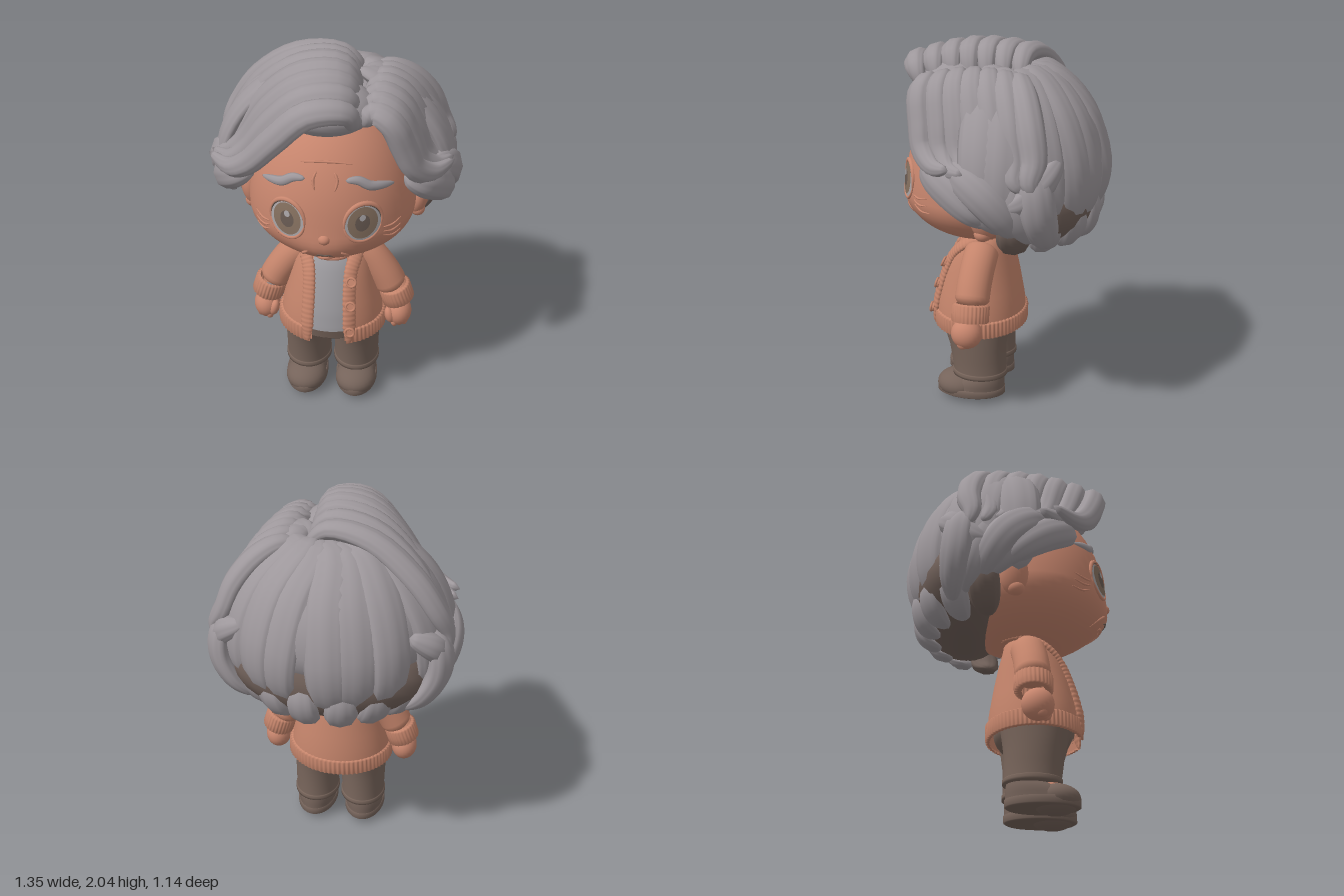
import * as THREE from 'three';
import { mergeVertices } from 'three/addons/utils/BufferGeometryUtils.js';

const V = (a) => new THREE.Vector3(...a);
const mat = (name, color, side = THREE.FrontSide) => Object.assign(new THREE.MeshStandardMaterial({ color, side }), { name });
const mirror = (pts, s) => pts.map(([x, ...r]) => [x * s, ...r]);
const mix = (A, B, t) => A.map((p, i) => p.map((v, k) => v + (B[i][k] - v) * t));

// Smooth surface through rows of points
function grid(rows, cols, fn) {
  const p = [], idx = [];
  for (let i = 0; i <= rows; i++) for (let j = 0; j <= cols; j++) p.push(...fn(i / rows, j / cols));
  for (let i = 0; i < rows; i++) for (let j = 0; j < cols; j++) {
    const a = i * (cols + 1) + j, c = a + cols + 1;
    idx.push(a, a + 1, c, a + 1, c + 1, c);
  }
  let g = new THREE.BufferGeometry();
  g.setAttribute('position', new THREE.Float32BufferAttribute(p, 3));
  g.setIndex(idx);
  g = mergeVertices(g, 1e-5);
  g.computeVertexNormals();
  return g;
}

// Unit sphere with its points moved by a rule
const egg = (rule) => grid(30, 48, (t, s) => {
  const lat = (t - 0.5) * Math.PI, a = (s % 1) * Math.PI * 2;
  return rule(Math.cos(lat) * Math.sin(a), Math.sin(lat), Math.cos(lat) * Math.cos(a));
});

// Flattened tube along a curve; its thin side faces away from a centre point
function sweep(pts, w, h, profile, { centre = [0, 1.35, 0], rows = 24, cols = 24, strands = 0 } = {}) {
  const curve = new THREE.CatmullRomCurve3(pts.map(V)), c = V(centre);
  return grid(rows, cols, (t, s) => {
    const P = curve.getPoint(t), T = curve.getTangent(t), N = P.clone().sub(c);
    N.addScaledVector(T, -N.dot(T)).normalize();
    const B = N.clone().cross(T), a = (s % 1) * Math.PI * 2, r = profile(t) * (1 + strands * Math.cos(8 * a));
    return P.addScaledVector(B, Math.cos(a) * w * r).addScaledVector(N, Math.sin(a) * h * r).toArray();
  });
}
const capped = (t) => Math.min(1, Math.sqrt(Math.max(0, Math.sin(Math.PI * t)) * 3));
const lockShape = (t) => Math.sqrt(Math.max(0, Math.sin(Math.PI * Math.pow(t, 0.85))));

// Stacked ellipses [y, rx, rz, centreZ]; gap is the half width of a front opening
function loft(rings, { gap = 0, rib = 0, ribs = 12, cx = 0 } = {}) {
  const n = rings.length - 1;
  return grid(n * 2, ribs * 4, (t, s) => {
    const i = Math.min(n - 1, Math.floor(t * n)), u = t * n - i;
    const [y, rx, rz, cz] = rings[i].map((v, k) => v + (rings[i + 1][k] - v) * u);
    const g = gap && Math.asin(gap / rx), a = g + (gap ? s : s % 1) * (Math.PI * 2 - 2 * g);
    const k = 1 + rib * Math.cos(a * ribs);
    return [cx + rx * k * Math.sin(a), y, cz + rz * k * Math.cos(a)];
  });
}

// Height of the face surface, with a soft muzzle
const bump = (x, y) => 0.03 * Math.exp(-((x / 0.15) ** 2) - ((y - 1.09) / 0.09) ** 2);
const faceZ = (x, y) => {
  const t = (y - 1.2) / (y > 1.2 ? 0.6 : 0.27);
  return 0.12 + 0.42 * Math.sqrt(Math.max(0, 1 - (x / 0.44) ** 2 - t * t)) + bump(x, y);
};

export function createModel() {
  const root = new THREE.Group();
  const skin = mat('skin', 0xc8866e), knit = mat('cardiganKnit', 0xc4846b, THREE.DoubleSide);
  const hair = mat('greyHair', 0x9d979b), under = mat('hairUnderside', 0x71615a);
  const cloth = mat('trouserBrown', 0x78655b), shoe = mat('shoeBrown', 0x75635a), shirt = mat('shirtGrey', 0x9b999d);
  const iris = mat('irisBrown', 0x85705f), dark = mat('pupilBrown', 0x685a52), white = mat('eyeGrey', 0xa8a4a6);
  const add = (name, geo, m, pos = [0, 0, 0], parent = root) => {
    const mesh = new THREE.Mesh(geo, m);
    mesh.name = name;
    mesh.position.set(...pos);
    parent.add(mesh);
    return mesh;
  };
  const ball = (name, m, pos, scale) => add(name, new THREE.SphereGeometry(1, 24, 16).scale(...scale), m, pos);
  const lock = (name, pts, w, h, m = hair) => add(name, sweep(pts, w, h, lockShape, { strands: 0.05 }), m);

  // Head, nose and neck
  add('head', egg((x, y, z) => {
    const X = x * 0.44, Y = 1.2 + y * (y > 0 ? 0.6 : 0.27);
    return [X, Y, 0.12 + z * 0.42 + (z > 0 ? bump(X, Y) : 0)];
  }), skin);
  ball('nose', skin, [0, 1.19, 0.535], [0.032, 0.029, 0.03]);
  add('neck', new THREE.CylinderGeometry(0.12, 0.14, 0.2, 32), skin, [0, 0.92, 0.1]);

  // Face details laid on the face surface
  const disc = (name, m, cx, cy, rx, ry, off) => add(name, grid(4, 36, (t, s) => {
    const a = (s % 1) * Math.PI * 2, x = cx + rx * (1 - t) * Math.cos(a), y = cy + ry * (1 - t) * Math.sin(a);
    return [x, y, faceZ(x, y) + off];
  }), m);
  const line = (name, m, pts, w, h = w) =>
    add(name, sweep(pts.map(([x, y]) => [x, y, faceZ(x, y)]), w, h, lockShape, { centre: [0, 1.25, 0], cols: 8 }), m);
  line('mouth', dark, [[-0.045, 1.08], [-0.02, 1.095], [0, 1.09], [0.02, 1.095], [0.045, 1.08]], 0.005);
  line('lowerLip', skin, [[-0.04, 1.055], [0, 1.06], [0.04, 1.055]], 0.012);
  line('foreheadCrease', skin, [[-0.13, 1.57], [0, 1.585], [0.13, 1.57]], 0.007);
  const lid = (a0, a1, k) => Array.from({ length: 11 }, (_, i) => {
    const a = (a0 + (a1 - a0) * i / 10) * Math.PI;
    return [0.19 + 0.091 * k * Math.cos(a), 1.275 + 0.103 * k * Math.sin(a)];
  });
  for (const s of [1, -1]) {
    disc('eyeWhite', white, 0.19 * s, 1.275, 0.088, 0.1, 0.004);
    disc('iris', iris, 0.19 * s, 1.278, 0.073, 0.086, 0.007);
    disc('pupil', dark, 0.19 * s, 1.28, 0.036, 0.045, 0.01);
    disc('eyeHighlight', white, 0.19 * s, 1.31, 0.015, 0.017, 0.013);
    line('upperLid', skin, mirror(lid(-0.1, 1.1, 1), s), 0.014);
    line('lowerLid', skin, mirror(lid(1.02, 1.98, 1), s), 0.01);
    line('lashLine', dark, mirror(lid(0, 1, 0.94), s), 0.006, 0.012);
    line('eyebrow', hair, mirror([[0.1, 1.5], [0.16, 1.495], [0.22, 1.46], [0.28, 1.445], [0.335, 1.43]], s), 0.025, 0.018);
    line('browCrease', skin, mirror([[0.045, 1.54], [0.06, 1.5], [0.05, 1.45]], s), 0.008);
    line('smileCrease', skin, mirror([[0.085, 1.11], [0.11, 1.08], [0.115, 1.03]], s), 0.009);
    for (let i = 0; i < 3; i++)
      line('eyeCrease', skin, mirror([[0.29, 1.22 - i * 0.025], [0.33, 1.215 - i * 0.035], [0.375, 1.23 - i * 0.04]], s), 0.006);
    ball('ear', skin, [0.455 * s, 1.175, 0.02], [0.055, 0.12, 0.075]).rotation.z = -0.2 * s;
    ball('earLobe', skin, [0.45 * s, 1.09, 0.03], [0.04, 0.04, 0.045]);
  }

  // Hair base under the locks
  add('hairBase', egg((x, y, z) => [x * 0.56, 1.42 + y * (y > 0 ? 0.43 : 0.3), -0.08 + z * 0.45]), hair);
  ball('fringeBase', hair, [-0.02, 1.79, 0.25], [0.25, 0.13, 0.21]);
  ball('napeHair', under, [0, 1.22, -0.24], [0.52, 0.26, 0.28]);

  // Locks combed from the parting to each side, from the front row to the crown
  const parted = [
    ['rightPartedLock', 0.05,
      [[0.14, 1.74, 0.4], [0.1, 1.86, 0.46], [-0.08, 1.86, 0.49], [-0.25, 1.7, 0.46], [-0.39, 1.54, 0.4], [-0.5, 1.47, 0.34], [-0.63, 1.48, 0.22]],
      [[0.15, 1.84, -0.1], [0.03, 1.93, -0.1], [-0.2, 1.9, -0.14], [-0.42, 1.74, -0.2], [-0.54, 1.58, -0.22], [-0.6, 1.46, -0.2], [-0.62, 1.37, -0.22]]],
    ['leftPartedLock', 0.03,
      [[0.17, 1.74, 0.36], [0.22, 1.82, 0.36], [0.31, 1.78, 0.38], [0.38, 1.63, 0.36], [0.43, 1.52, 0.34], [0.52, 1.46, 0.27], [0.63, 1.48, 0.16]],
      [[0.17, 1.82, -0.1], [0.26, 1.85, -0.12], [0.38, 1.79, -0.17], [0.49, 1.66, -0.22], [0.55, 1.52, -0.25], [0.6, 1.43, -0.24], [0.6, 1.36, -0.27]]],
  ];
  for (const [name, lift, A, B] of parted) for (let i = 0; i < 7; i++) {
    const rise = lift * Math.sin(Math.PI * i / 6);
    lock(name, mix(A, B, i / 6).map(([x, y, z], k) => [x, y + (k > 0 && k < 4 ? rise : 0), z]), 0.073, 0.055);
  }

  // Locks fanning over the back of the head
  for (let i = 0; i < 11; i++) {
    const az = (-1 + i / 5) * 1.66, end = 2.5 - 0.3 * Math.abs(az), pts = [[0.14, 1.84, -0.06]];
    for (const f of [0.18, 0.38, 0.58, 0.75, 0.9, 1]) {
      const a = az + 0.12 * f * Math.sin(i * 2.3), c = Math.cos(f * end), r = Math.sin(f * end);
      pts.push([r * Math.sin(a) * 0.59, 1.32 + c * (c > 0 ? 0.58 : 0.4), -r * Math.cos(a) * 0.515]);
    }
    lock('backLock', pts, 0.115, 0.05 + 0.006 * (i % 2));
  }

  // Lower side locks, curls and nape tips
  const sideA = [[0.38, 1.46, 0.33], [0.48, 1.41, 0.28], [0.56, 1.34, 0.17], [0.59, 1.25, 0.05], [0.54, 1.17, -0.05]];
  const sideB = [[0.5, 1.5, -0.22], [0.57, 1.4, -0.26], [0.57, 1.25, -0.28], [0.5, 1.12, -0.3], [0.4, 1.03, -0.3]];
  for (const s of [1, -1]) {
    for (let i = 0; i < 5; i++) lock('lowerSideLock', mirror(mix(sideA, sideB, i / 4), s), 0.09, 0.058);
    lock('outerCurl', mirror([[0.48, 1.46, 0.2], [0.58, 1.42, 0.1], [0.62, 1.33, -0.02], [0.58, 1.2, -0.12], [0.48, 1.1, -0.16]], s), 0.09, 0.055);
    lock('rearCurl', mirror([[0.42, 1.5, -0.36], [0.54, 1.42, -0.3], [0.59, 1.32, -0.2], [0.6, 1.28, -0.1]], s), 0.07, 0.05);
    for (let i = 0; i < 4; i++) {
      const x = Math.sin(0.2 + i * 0.36) * s, z = -Math.cos(0.2 + i * 0.36);
      const tip = [[0.52, 1.26, 0.48], [0.52, 1.13, 0.49], [0.45, 1.03, 0.45], [0.36, 0.98, 0.38]];
      lock('napeTip', tip.map(([rx, y, rz]) => [x * rx, y, z * rz]), 0.085, 0.05, i > 2 ? under : hair);
    }
  }

  // Cardigan, ribbed hem and shirt
  add('cardiganBody', loft([[0.42, 0.29, 0.255, 0.14], [0.55, 0.275, 0.245, 0.14], [0.7, 0.24, 0.215, 0.135],
    [0.82, 0.215, 0.18, 0.125], [0.9, 0.19, 0.145, 0.11], [0.96, 0.13, 0.11, 0.09]], { gap: 0.09, ribs: 16 }), knit);
  add('cardiganHem', loft([[0.4, 0.28, 0.24, 0.14], [0.405, 0.3, 0.26, 0.14], [0.485, 0.298, 0.262, 0.14],
    [0.495, 0.28, 0.245, 0.14]], { gap: 0.1, rib: 0.013, ribs: 70 }), knit);
  add('shirt', loft([[0.475, 0.254, 0.239, 0.14], [0.5, 0.25, 0.235, 0.14], [0.6, 0.235, 0.215, 0.14], [0.75, 0.2, 0.175, 0.13],
    [0.86, 0.16, 0.135, 0.12], [0.88, 0.1, 0.1, 0.11]]), shirt);
  add('neckband', new THREE.TorusGeometry(0.125, 0.017, 10, 40).rotateX(Math.PI / 2 + 0.15), skin, [0, 0.89, 0.115]);
  const ribbed = (t) => capped(t) * (1 + 0.06 * Math.cos(t * 240));
  for (const s of [1, -1]) {
    // Ribbed front band running up into the collar
    add('frontBand', sweep(mirror([[0.115, 0.405, 0.385], [0.115, 0.55, 0.365], [0.11, 0.7, 0.325], [0.115, 0.82, 0.275], [0.14, 0.9, 0.2],
      [0.135, 0.955, 0.09], [0.08, 0.97, 0], [0, 0.97, -0.02]], s), 0.038, 0.02, ribbed, { centre: [0, 0.65, 0.1], rows: 150, cols: 12 }), knit);

    // Sleeve, cuff and hand
    add('sleeve', sweep(mirror([[0.12, 0.88, 0.1], [0.2, 0.83, 0.105], [0.28, 0.73, 0.115], [0.345, 0.61, 0.12]], s), 0.088, 0.094, capped, { centre: [0, 0.7, -3] }), knit);
    add('cuff', loft([[-0.05, 0.06, 0.06, 0], [-0.048, 0.088, 0.098, 0], [0.04, 0.088, 0.1, 0], [0.05, 0.07, 0.08, 0]],
      { rib: 0.025, ribs: 28 }), knit, [0.355 * s, 0.592, 0.12]).rotation.z = 0.3 * s;
    ball('hand', skin, [0.372 * s, 0.475, 0.14], [0.073, 0.085, 0.085]);
    ball('thumb', skin, [0.325 * s, 0.475, 0.19], [0.028, 0.05, 0.034]).rotation.z = 0.25 * s;
    for (let i = 0; i < 3; i++) ball('finger', skin, [(0.352 + i * 0.027) * s, 0.43, 0.18 - i * 0.012], [0.022, 0.035, 0.032]);

    // Trouser leg with turned hem
    add('trouserLeg', loft([[0.12, 0.09, 0.1, 0.12], [0.125, 0.13, 0.155, 0.12], [0.15, 0.13, 0.155, 0.12], [0.156, 0.124, 0.149, 0.12],
      [0.3, 0.128, 0.16, 0.13], [0.42, 0.13, 0.185, 0.14]], { cx: 0.137 * s }), cloth);

    // Shoe and ankle
    ball('foot', skin, [0.143 * s, 0.1, 0.19], [0.075, 0.05, 0.1]);
    add('shoeSole', loft([[0, 0.001, 0.001, 0.17], [0, 0.108, 0.182, 0.17], [0.008, 0.118, 0.195, 0.17], [0.045, 0.118, 0.195, 0.17],
      [0.05, 0.1, 0.18, 0.17]], { cx: 0.143 * s }), shoe);
    ball('shoeToe', shoe, [0.143 * s, 0.05, 0.235], [0.115, 0.082, 0.13]).scale.y = 0.98;
    add('shoeHeel', loft([[0.045, 0.11, 0.17, 0.15], [0.09, 0.108, 0.15, 0.13], [0.13, 0.09, 0.115, 0.1]], { cx: 0.143 * s }), shoe);
  }
  ball('trouserSeat', cloth, [0, 0.44, 0.13], [0.25, 0.13, 0.21]);
  add('trouserWaist', loft([[0.4, 0.25, 0.2, 0.14], [0.5, 0.24, 0.222, 0.14]]), cloth);

  // Buttons on the left band
  for (const [y, z, tilt] of [[0.775, 0.318, -0.4], [0.645, 0.36, -0.25], [0.495, 0.392, -0.12]]) {
    const button = new THREE.Group();
    button.name = 'button';
    add('buttonFace', new THREE.CylinderGeometry(0.026, 0.026, 0.018, 24).rotateX(Math.PI / 2), knit, [0, 0, 0], button);
    add('buttonRim', new THREE.TorusGeometry(0.024, 0.007, 8, 24), knit, [0, 0, 0.008], button);
    button.position.set(0.12, y, z);
    button.rotation.x = tilt;
    root.add(button);
  }
  return root;
}
